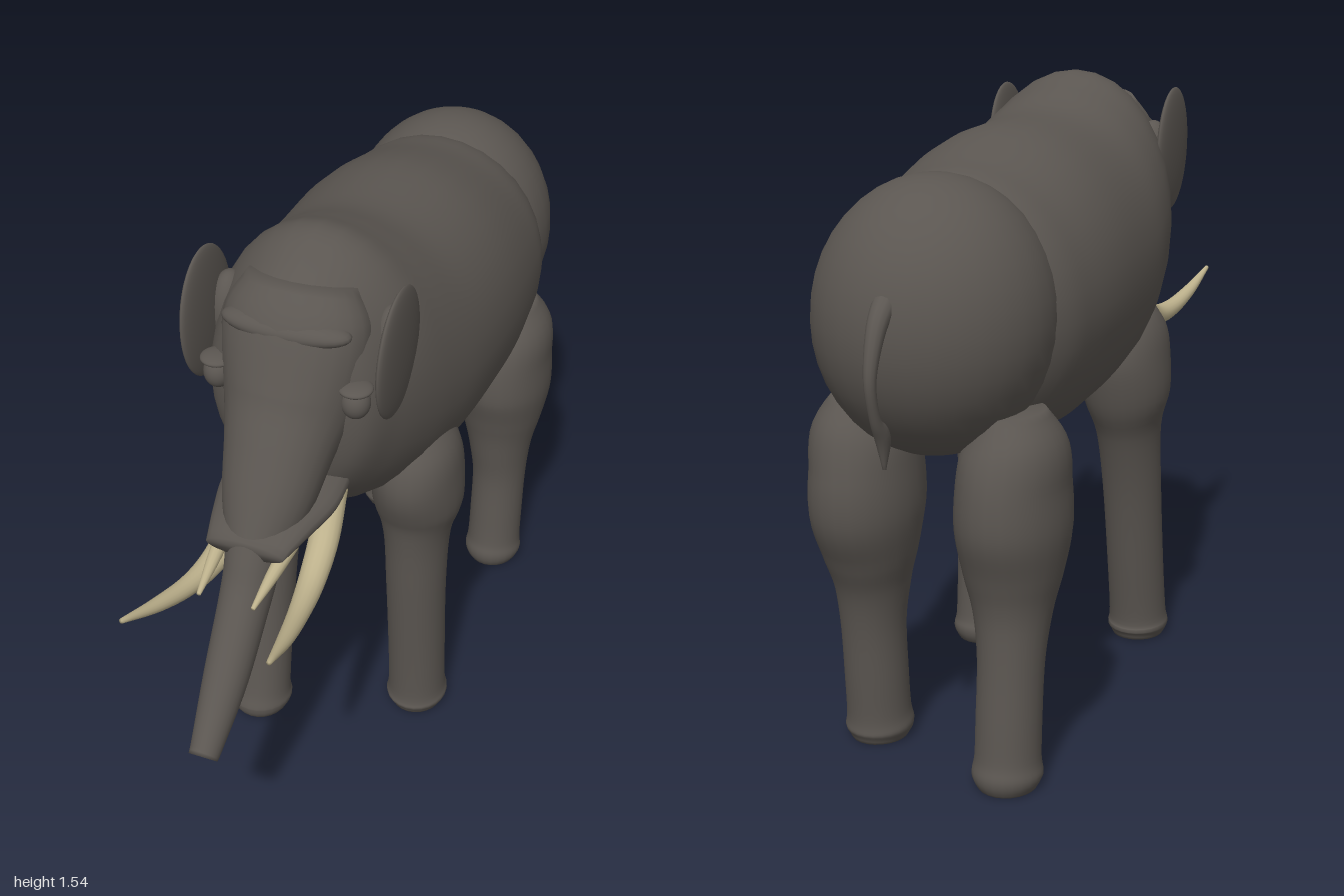
import * as THREE from 'three';

const hide = new THREE.MeshStandardMaterial({ color: 0x5b5651 });
hide.name = 'grey hide';
const ivory = new THREE.MeshStandardMaterial({ color: 0xbdb18c });
ivory.name = 'ivory';

// Smooth closed loft through sections [x, y, z, side radius, normal radius].
function loft(sections, { sides = 24, steps = 5, axis = null } = {}) {
  const path = new THREE.CatmullRomCurve3(
    sections.map(s => new THREE.Vector3(s[0], s[1], s[2])), false, 'catmullrom');
  const radii = new THREE.CatmullRomCurve3(
    sections.map(s => new THREE.Vector3(s[3], s[4], 0)), false, 'catmullrom');
  const n = (sections.length - 1) * steps;
  const pos = [], index = [];
  const ring = (t, scale) => {
    const c = path.getPoint(t), r = radii.getPoint(t);
    const dir = axis || path.getTangent(t);
    const side = new THREE.Vector3(1, 0, 0).addScaledVector(dir, -dir.x).normalize();
    const up = new THREE.Vector3().crossVectors(dir, side);
    for (let j = 0; j < sides; j++) {
      const a = (j / sides) * Math.PI * 2;
      const p = c.clone()
        .addScaledVector(side, Math.cos(a) * r.x * scale)
        .addScaledVector(up, Math.sin(a) * r.y * scale);
      pos.push(p.x, p.y, p.z);
    }
  };
  ring(0, 0);
  for (let i = 0; i <= n; i++) ring(i / n, 1);
  ring(1, 0);
  for (let i = 0; i < n + 2; i++) {
    for (let j = 0; j < sides; j++) {
      const k = (j + 1) % sides;
      const a = i * sides + j, b = i * sides + k;
      index.push(a, b, a + sides, b, b + sides, a + sides);
    }
  }
  const g = new THREE.BufferGeometry();
  g.setAttribute('position', new THREE.Float32BufferAttribute(pos, 3));
  g.setIndex(index);
  g.computeVertexNormals();
  return g;
}

export function createModel() {
  const model = new THREE.Group();
  const add = (name, geometry, material = hide) => {
    const m = new THREE.Mesh(geometry, material);
    m.name = name;
    model.add(m);
    return m;
  };
  const ball = (name, [x, y, z], [rx, ry, rz]) => {
    const m = add(name, new THREE.SphereGeometry(1, 32, 20));
    m.position.set(x, y, z);
    m.scale.set(rx, ry, rz);
    return m;
  };

  // Barrel with domed shoulders: [z, top, bottom, half width]
  const barrel = [
    [-0.72, 1.25, 0.85, 0.2], [-0.58, 1.36, 0.74, 0.285], [-0.45, 1.395, 0.715, 0.312],
    [-0.25, 1.445, 0.7, 0.325], [0, 1.46, 0.72, 0.318], [0.15, 1.505, 0.745, 0.298],
    [0.26, 1.54, 0.78, 0.272], [0.36, 1.51, 0.84, 0.235], [0.45, 1.45, 0.93, 0.19],
    [0.5, 1.36, 1.02, 0.1],
  ];
  add('body', loft(barrel.map(([z, t, b, w]) => [0, (t + b) / 2, z, w, (t - b) / 2]),
    { sides: 32, axis: new THREE.Vector3(0, 0, 1) }));
  ball('rump', [0, 1.07, -0.65], [0.275, 0.316, 0.285]);

  // Face running down into the trunk
  add('headAndTrunk', loft([
    [0, 1.46, 0.36, 0.13, 0.08], [0, 1.37, 0.39, 0.175, 0.12], [0, 1.215, 0.435, 0.16, 0.14],
    [0, 1.11, 0.51, 0.13, 0.12], [0, 1.0, 0.59, 0.105, 0.1], [0, 0.9, 0.665, 0.068, 0.075],
    [0, 0.82, 0.72, 0.06, 0.063], [0, 0.675, 0.84, 0.052, 0.055], [0, 0.57, 0.945, 0.038, 0.04],
    [0, 0.545, 0.975, 0.034, 0.036],
  ]));
  ball('brow', [0, 1.39, 0.455], [0.155, 0.035, 0.055]);
  add('upperLip', loft([
    [0, 0.985, 0.42, 0.14, 0.05], [0, 0.975, 0.52, 0.145, 0.05],
    [0, 0.965, 0.62, 0.122, 0.045], [0, 0.95, 0.715, 0.095, 0.025],
  ]));

  // Tail with a small tuft
  add('tail', loft([
    [0, 1.16, -0.89, 0.03, 0.025], [0, 1.1, -0.95, 0.022, 0.022], [0, 1.0, -0.985, 0.014, 0.015],
    [0, 0.91, -0.965, 0.012, 0.013], [0, 0.86, -0.93, 0.016, 0.022], [0, 0.79, -0.925, 0.004, 0.004],
  ], { sides: 12 }));

  for (const s of [1, -1]) {
    const label = s > 0 ? 'left' : 'right';

    // Ears and eyes
    const ear = ball(label + 'Ear', [s * 0.234, 1.33, 0.38], [0.02, 0.162, 0.127]);
    ear.rotation.z = s * -0.03;
    ball(label + 'EarRoot', [s * 0.2, 1.31, 0.32], [0.05, 0.1, 0.06]);
    ball(label + 'Eye', [s * 0.168, 1.235, 0.465], [0.034, 0.04, 0.034]);
    ball(label + 'Eyelid', [s * 0.168, 1.272, 0.465], [0.04, 0.013, 0.04]);

    // Tusks, a long pair and a short pair
    add(label + 'Tusk', loft([
      [s * 0.1, 0.96, 0.44, 0.036, 0.034], [s * 0.11, 0.87, 0.52, 0.036, 0.034],
      [s * 0.12, 0.822, 0.62, 0.032, 0.03], [s * 0.135, 0.82, 0.73, 0.025, 0.024],
      [s * 0.155, 0.85, 0.85, 0.018, 0.017], [s * 0.175, 0.9, 0.975, 0.006, 0.006],
    ], { sides: 16 }), ivory);
    add(label + 'ShortTusk', loft([
      [s * 0.08, 0.935, 0.64, 0.02, 0.02], [s * 0.073, 0.91, 0.73, 0.015, 0.015],
      [s * 0.066, 0.885, 0.82, 0.005, 0.005],
    ], { sides: 12 }), ivory);

    // Legs in a walking pose: z of each section differs by side
    const leg = (name, rows) => add(name, loft(rows.map(
      ([x, y, zl, zr, rx, rz]) => [s * x, y, s > 0 ? zl : zr, rx, rz])));
    leg(label + 'FrontLeg', [
      [0.19, 0.97, 0.14, 0.14, 0.06, 0.07], [0.195, 0.9, 0.13, 0.13, 0.1, 0.125],
      [0.195, 0.82, 0.12, 0.13, 0.112, 0.145], [0.195, 0.72, 0.11, 0.135, 0.112, 0.128],
      [0.195, 0.62, 0.115, 0.155, 0.085, 0.1], [0.195, 0.45, 0.115, 0.19, 0.078, 0.085],
      [0.195, 0.22, 0.1, 0.23, 0.076, 0.08], [0.195, 0.07, 0.09, 0.257, 0.077, 0.08],
      [0.195, 0.03, 0.087, 0.262, 0.082, 0.088], [0.195, 0, 0.087, 0.262, 0.068, 0.074],
    ]);
    leg(label + 'HindLeg', [
      [0.19, 0.87, -0.63, -0.66, 0.07, 0.09], [0.195, 0.79, -0.63, -0.66, 0.115, 0.145],
      [0.19, 0.7, -0.625, -0.66, 0.125, 0.17], [0.19, 0.6, -0.625, -0.66, 0.128, 0.17],
      [0.19, 0.5, -0.615, -0.665, 0.112, 0.135], [0.192, 0.41, -0.605, -0.675, 0.09, 0.105],
      [0.195, 0.3, -0.6, -0.695, 0.077, 0.085], [0.195, 0.16, -0.59, -0.71, 0.076, 0.081],
      [0.195, 0.07, -0.582, -0.717, 0.077, 0.081], [0.195, 0.03, -0.578, -0.72, 0.082, 0.087],
      [0.195, 0, -0.578, -0.72, 0.068, 0.074],
    ]);
  }
  return model;
}
